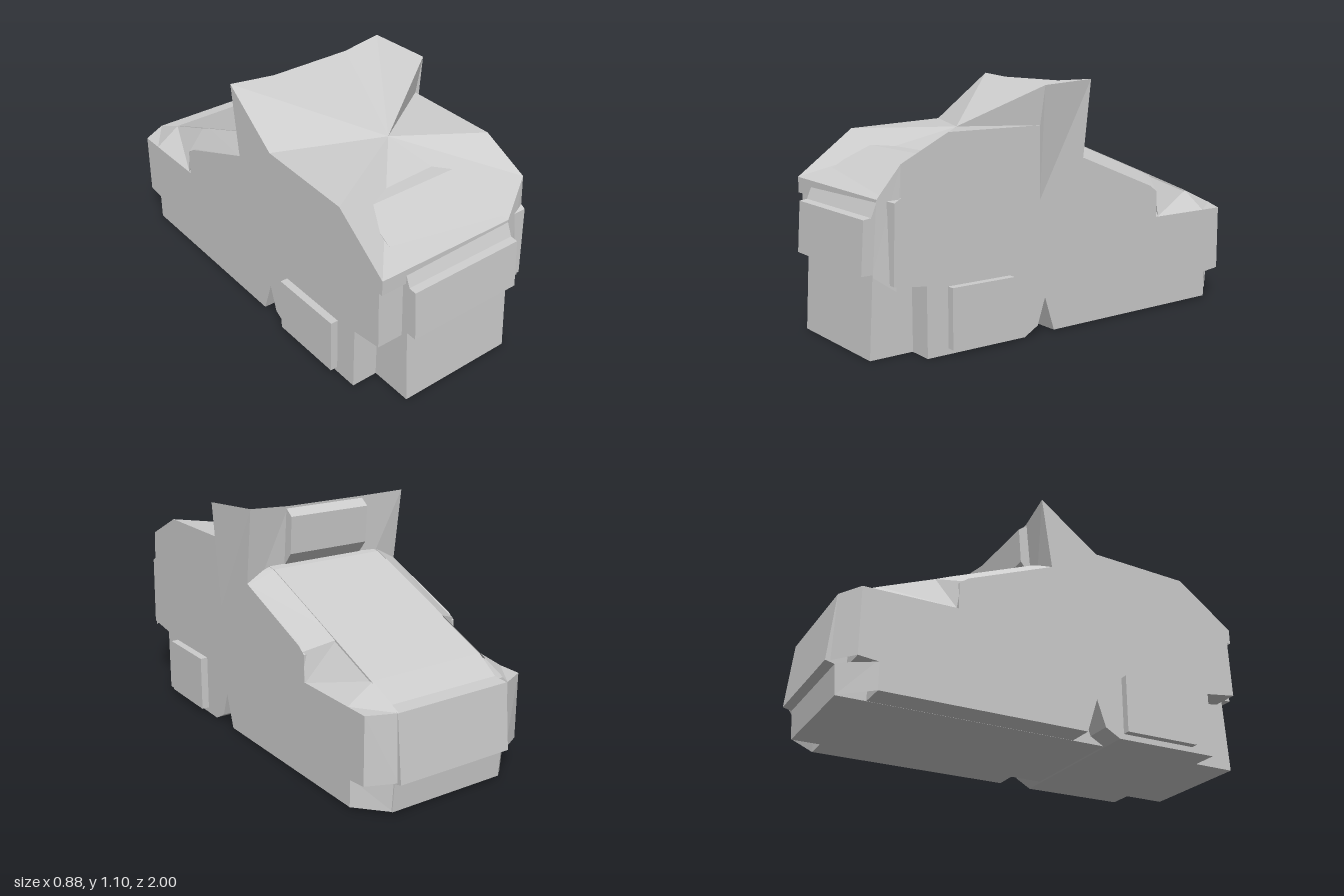
import * as THREE from 'three';

export function createModel() {
  const group = new THREE.Group();
  const grey = new THREE.MeshStandardMaterial({ color: 0xcccccc, side: THREE.DoubleSide });
  grey.name = 'light grey';

  const add = (name, geometry) => {
    const mesh = new THREE.Mesh(geometry, grey);
    mesh.name = name;
    group.add(mesh);
    return mesh;
  };

  // Side profile given as [z, y], extruded across the width
  const profile = (name, points, x0, x1) => {
    const shape = new THREE.Shape(points.map(([z, y]) => new THREE.Vector2(-z, y)));
    const geometry = new THREE.ExtrudeGeometry(shape, { depth: x1 - x0, bevelEnabled: false });
    geometry.rotateY(Math.PI / 2).translate(x0, 0, 0);
    return add(name, geometry);
  };

  // Sheet of quads between two rows of points
  const strip = (name, a, b) => {
    const pos = [];
    for (let i = 0; i < a.length - 1; i++) {
      pos.push(...a[i], ...b[i], ...a[i + 1], ...a[i + 1], ...b[i], ...b[i + 1]);
    }
    const geometry = new THREE.BufferGeometry();
    geometry.setAttribute('position', new THREE.Float32BufferAttribute(pos, 3));
    geometry.computeVertexNormals();
    return add(name, geometry);
  };

  // Outer body with front corner recesses, arch notches and a rear step
  profile('outerBody', [
    [0.77, 0.01], [0.77, 0.31], [0.92, 0.33], [0.91, 0.66], [0.66, 0.81], [0.2, 0.8],
    [0.05, 0.79], [-0.05, 0.76], [-0.45, 0.6], [-0.49, 0.57], [-0.49, 0.45], [-0.91, 0.45],
    [-0.91, 0.15], [-0.82, 0.14], [-0.82, 0.02], [0.12, 0.015], [0.17, 0.17], [0.21, 0.05],
    [0.28, 0.01],
  ], -0.405, 0.405);

  // Central body with stepped nose and sloping tail
  profile('centreBody', [
    [0.97, 0.01], [0.95, 0.36], [1, 0.36], [0.985, 0.585], [0.95, 0.59], [0.92, 0.66],
    [0.66, 0.81], [0, 0.83], [-0.08, 0.82], [-0.48, 0.66], [-0.8, 0.53], [-0.9, 0.46],
    [-0.97, 0.455], [-1, 0.16], [-0.96, 0.15], [-0.95, 0.02],
  ], -0.28, 0.29);

  // Sloping shoulders beside the tail
  const inner = [[0, 0.83], [-0.08, 0.82], [-0.48, 0.66], [-0.55, 0.63], [-0.8, 0.53], [-0.97, 0.455], [-0.98, 0.16]];
  const outer = [[0.05, 0.79], [-0.05, 0.76], [-0.48, 0.58], [-0.5, 0.45], [-0.8, 0.45], [-0.91, 0.45], [-0.91, 0.15]];
  for (const side of [-1, 1]) {
    strip('rearShoulder',
      inner.map(([z, y]) => [side * 0.285, y, z]),
      outer.map(([z, y]) => [side * 0.405, y, z]));
    // Lower rear corner
    strip('rearCorner',
      [[side * 0.285, 0.15, -0.96], [side * 0.285, 0.02, -0.95]],
      [[side * 0.405, 0.15, -0.82], [side * 0.405, 0.02, -0.82]]);
  }

  // Roof: a fan of folded facets around one low point
  const hub = [0.07, 0.9, 0.4];
  const rim = [
    [-0.405, 0.67, 0.93], [0.29, 0.66, 0.925], [0.405, 0.81, 0.88], [0.405, 0.92, 0.66],
    [0.405, 0.92, 0.2], [0.44, 1.09, 0.2], [0.405, 1.105, -0.08], [0.2, 1.09, -0.06],
    [-0.2, 1.09, -0.06], [-0.405, 1.1, -0.09], [-0.405, 0.89, 0.19], [-0.405, 0.87, 0.66],
    [-0.405, 0.67, 0.93],
  ];
  strip('roof', rim, rim.map(() => hub));

  // Panels joining the roof edge to the body
  strip('roofSkirt', rim, rim.map(([x, , z]) => [
    THREE.MathUtils.clamp(x, -0.405, 0.405), 0.6, Math.max(z, -0.02),
  ]));

  // Raised panel at the back of the roof
  profile('rearRoofPanel', [[0, 0.82], [-0.04, 0.82], [-0.09, 0.88], [-0.1, 1.05], [-0.06, 1.08], [0, 1.06]], -0.2, 0.21);

  // Upright front corner panel
  strip('frontCornerPanel',
    [[0.29, 0.66, 0.925], [0.285, 0.35, 0.95]],
    [[0.405, 0.81, 0.88], [0.405, 0.31, 0.91]]);

  // Thin side blocks in place of the front wheels
  for (const side of [-1, 1]) {
    const block = add('sideBlock', new THREE.BoxGeometry(0.04, 0.26, side > 0 ? 0.31 : 0.36));
    block.position.set(side * 0.42, 0.165, side > 0 ? 0.515 : 0.48);
  }
  return group;
}
